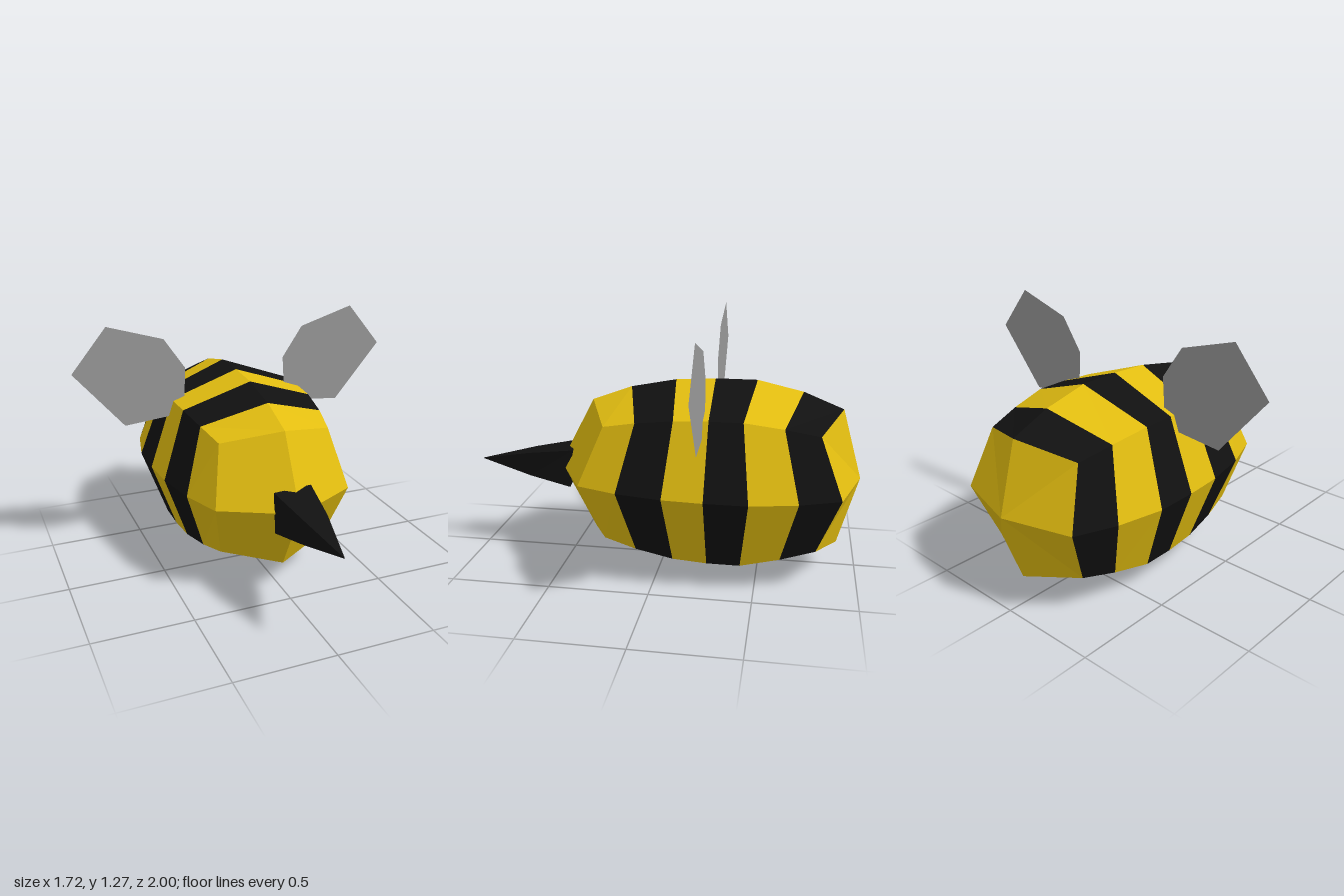
import * as THREE from 'three';

const CX = 0.013, CY = 0.492; // body axis

// Flat-faced mesh from a list of four-cornered faces
function quadMesh(name, quads, material) {
  const pos = [];
  for (const [a, b, c, d] of quads) {
    for (const p of [a, b, c, a, c, d]) pos.push(...p);
  }
  const geo = new THREE.BufferGeometry();
  geo.setAttribute('position', new THREE.Float32BufferAttribute(pos, 3));
  geo.computeVertexNormals();
  const mesh = new THREE.Mesh(geo, material);
  mesh.name = name;
  return mesh;
}

// Faces joining a front ring to the ring behind it
function join(front, back) {
  const n = front.length;
  return front.map((p, i) => [p, back[i], back[(i + 1) % n], front[(i + 1) % n]]);
}

export function createModel() {
  const yellow = new THREE.MeshStandardMaterial({ color: 0xe2bd10, flatShading: true });
  yellow.name = 'yellow';
  const black = new THREE.MeshStandardMaterial({ color: 0x111111, flatShading: true });
  black.name = 'black';
  const grey = new THREE.MeshStandardMaterial({ color: 0x999999, flatShading: true, side: THREE.DoubleSide });
  grey.name = 'wing grey';

  const model = new THREE.Group();
  model.name = 'bee';

  // Body rings: radius and z on the axes, offset and z on the diagonals
  const rings = [
    [0.354, 0.375, 0.29, 0.257],
    [0.43, 0.17, 0.325, 0.092],
    [0.475, -0.06, 0.352, -0.098],
    [0.487, -0.26, 0.36, -0.267],
    [0.487, -0.47, 0.36, -0.43],
    [0.435, -0.7, 0.328, -0.62],
    [0.354, -0.9, 0.29, -0.79],
  ].map(([r, z, d, zd]) => Array.from({ length: 8 }, (_, i) => {
    const a = i * Math.PI / 4;
    const len = i % 2 ? d * Math.SQRT2 : r;
    return [CX + Math.cos(a) * len, CY + Math.sin(a) * len, i % 2 ? zd : z];
  }));

  // Alternating stripes
  const body = new THREE.Group();
  body.name = 'body';
  for (let i = 0; i < 6; i++) {
    const dark = i % 2 === 1;
    body.add(quadMesh(dark ? 'blackStripe' : 'yellowStripe', join(rings[i], rings[i + 1]), dark ? black : yellow));
  }

  // End caps, four faces around a pole
  const frontCap = [], backCap = [];
  for (let i = 0; i < 8; i += 2) {
    const [f, b] = [rings[0], rings[6]];
    frontCap.push([[CX, CY, 0.56], f[i], f[i + 1], f[(i + 2) % 8]]);
    backCap.push([[CX, CY, -1], b[(i + 2) % 8], b[i + 1], b[i]]);
  }
  body.add(quadMesh('frontCap', frontCap, yellow), quadMesh('backCap', backCap, yellow));
  model.add(body);

  // Four-sided stinger with a slightly tilted base
  const corners = [[1, 1], [-1, 1], [-1, -1], [1, -1]];
  const section = (h, z, tilt) => corners.map(([x, y]) => [0.01 + x * h, 0.49 + y * h, z - tilt * (x + y)]);
  const tip = section(0.001, 1, 0);
  const middle = section(0.063, 0.715, 0);
  const base = section(0.101, 0.488, 0.01);
  model.add(quadMesh('stinger', [...join(tip, middle), ...join(middle, base), [...base].reverse()], black));

  // Flat upright wings, mirrored
  const outline = [[0.86, 1.05], [0.676, 1.273], [0.386, 1.185], [0.276, 1.023], [0.285, 0.87], [0.37, 0.772], [0.607, 0.75]];
  for (const side of [1, -1]) {
    const shape = new THREE.Shape(outline.map(([x, y]) => new THREE.Vector2(x * side, y)));
    const wing = new THREE.Mesh(new THREE.ShapeGeometry(shape), grey);
    wing.name = side > 0 ? 'leftWing' : 'rightWing';
    wing.position.z = -0.24;
    model.add(wing);
  }
  return model;
}
